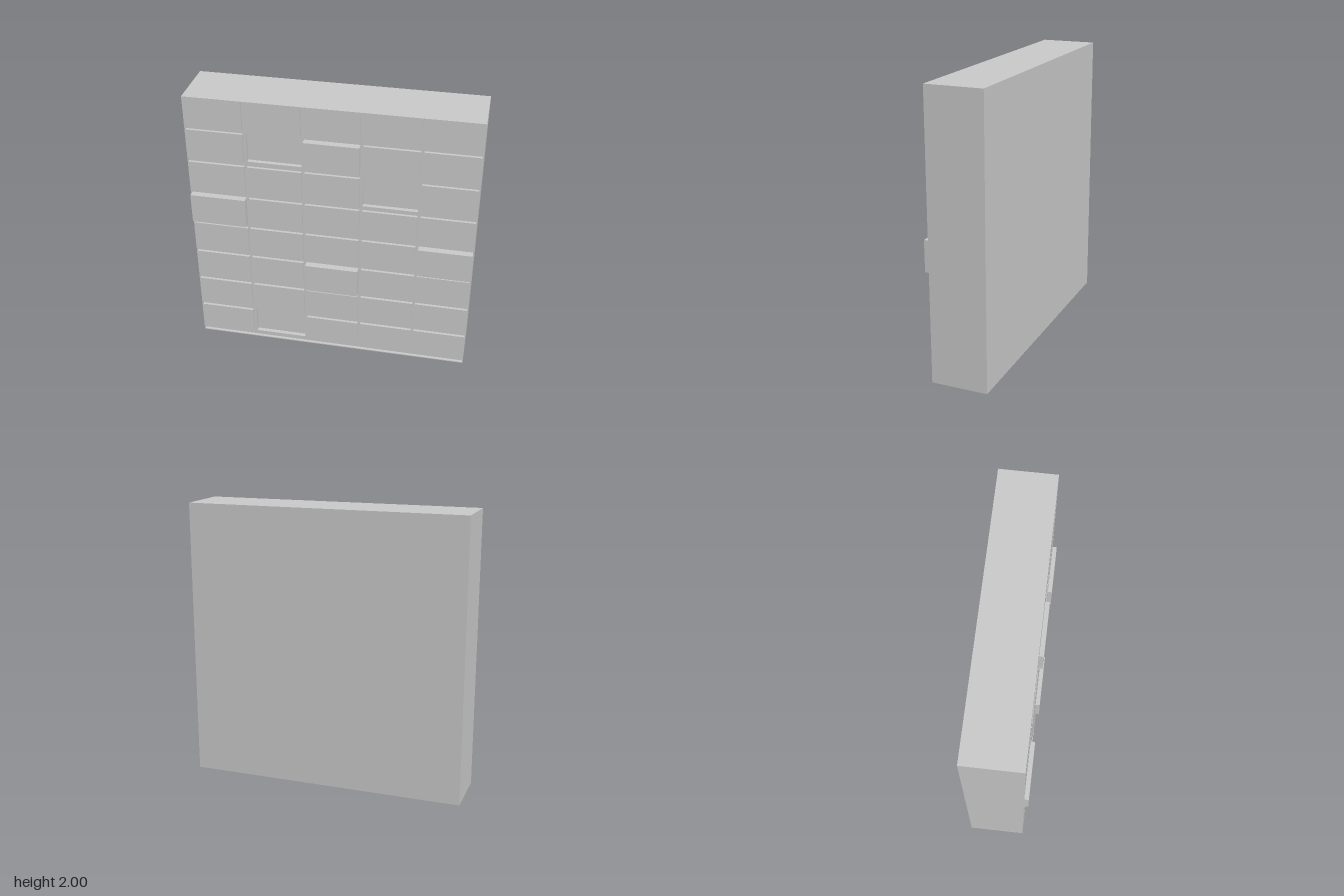
import * as THREE from 'three';

const material = new THREE.MeshStandardMaterial({ color: 0xcccccc, flatShading: true });

// depth levels along z
const BACK = -0.215, POCKET = 0.135, GROOVE = 0.165, FACE = 0.185, RAISED = 0.215;

// panel edges [low, high] of each column (left to right) and row (top to bottom)
const columns = [[-0.995, -0.6], [-0.58, -0.2], [-0.18, 0.2], [0.22, 0.6], [0.62, 0.995]];
const rows = [[1.79, 1.995], [1.54, 1.755], [1.28, 1.505], [1.03, 1.25],
  [0.78, 1.0], [0.53, 0.75], [0.28, 0.5], [0.04, 0.25]];

// "column,row" of the panels that are pushed out or sunk in
const raised = ['2,1', '0,3', '4,4', '2,5'];
const sunken = ['1,1', '3,2', '1,7'];

function rectangle(target, [x0, x1], [y0, y1]) {
  target.moveTo(x0, y0);
  target.lineTo(x1, y0);
  target.lineTo(x1, y1);
  target.lineTo(x0, y1);
  target.closePath();
  return target;
}

// rectangular slab between two depths, optionally pierced by rectangular holes
function slab(name, xs, ys, z0, z1, holes = []) {
  const shape = rectangle(new THREE.Shape(), xs, ys);
  for (const [hx, hy] of holes) shape.holes.push(rectangle(new THREE.Path(), hx, hy));
  const geometry = new THREE.ExtrudeGeometry(shape, { depth: z1 - z0, bevelEnabled: false });
  geometry.translate(0, 0, z0);
  const mesh = new THREE.Mesh(geometry, material);
  mesh.name = name;
  return mesh;
}

export function createModel() {
  const wall = new THREE.Group();
  wall.name = 'panelWall';

  // solid block behind everything
  wall.add(slab('wallBlock', [-1, 1], [0, 2], BACK, POCKET));

  // groove floor, open where panels are sunken
  const pockets = sunken.map((key) => {
    const [c, r] = key.split(',').map(Number);
    return [columns[c], rows[r]];
  });
  wall.add(slab('grooveFloor', [-1, 1], [0, 2], POCKET, GROOVE, pockets));

  // thin rim closing the grooves at the outer edge
  wall.add(slab('rim', [-1, 1], [0, 2], GROOVE, FACE, [[[-0.995, 0.995], [0.007, 1.995]]]));

  // flush and raised panels
  const panels = new THREE.Group();
  panels.name = 'panels';
  columns.forEach((xs, c) => rows.forEach((ys, r) => {
    const key = `${c},${r}`;
    if (sunken.includes(key)) return;
    const out = raised.includes(key);
    panels.add(slab(out ? 'raisedPanel' : 'flushPanel', xs, ys, GROOVE, out ? RAISED : FACE));
  }));
  wall.add(panels);

  return wall;
}
